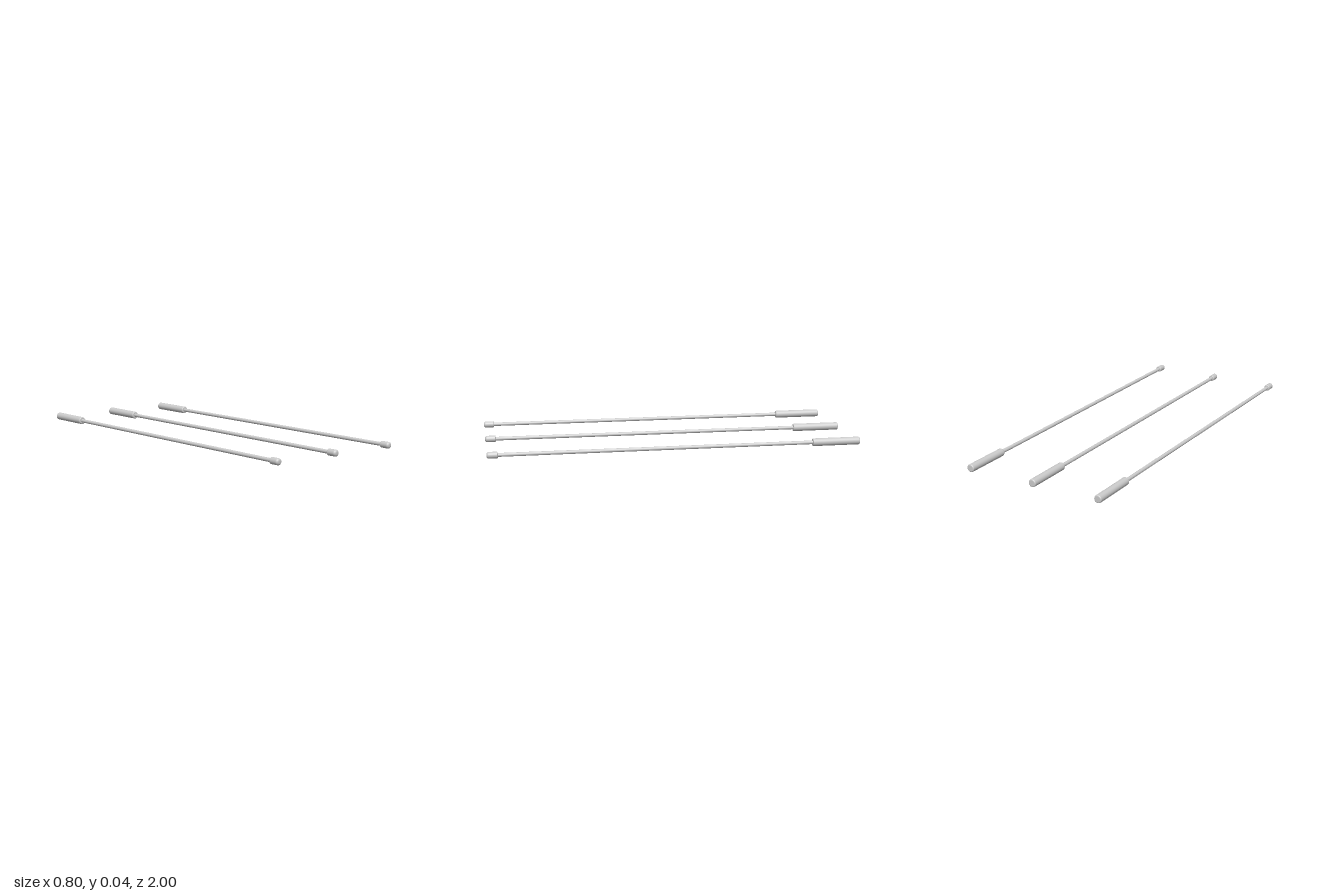
import * as THREE from 'three';

const R = 0.021; // grip radius, also the height of the axis
const material = new THREE.MeshStandardMaterial({ color: 0xcccccc });

// Capped round bar along z from z0 to z1, with rounded end edges
function roundBar(name, radius, z0, z1, backRound, frontRound) {
  const pts = [new THREE.Vector2(0, z0)];
  const steps = 5;
  for (let i = 0; i <= steps; i++) {
    const a = (i / steps) * Math.PI / 2;
    pts.push(new THREE.Vector2(radius - backRound * (1 - Math.sin(a)), z0 + backRound * (1 - Math.cos(a))));
  }
  for (let i = 0; i <= steps; i++) {
    const a = (i / steps) * Math.PI / 2;
    pts.push(new THREE.Vector2(radius - frontRound * (1 - Math.cos(a)), z1 - frontRound * (1 - Math.sin(a))));
  }
  pts.push(new THREE.Vector2(0, z1));
  const geometry = new THREE.LatheGeometry(pts, 32);
  geometry.rotateX(Math.PI / 2);
  const mesh = new THREE.Mesh(geometry, material);
  mesh.name = name;
  return mesh;
}

function createStick(name, x) {
  const stick = new THREE.Group();
  stick.name = name;
  // Thin shaft
  const shaftGeometry = new THREE.CylinderGeometry(0.01, 0.01, 1.72, 24, 1, true);
  shaftGeometry.rotateX(Math.PI / 2);
  const shaft = new THREE.Mesh(shaftGeometry, material);
  shaft.name = 'shaft';
  shaft.position.z = 0.105;
  // Thick grip at the back, small rounded tip at the front
  const grip = roundBar('grip', R, -1, -0.737, 0.006, 0.006);
  const tip = roundBar('tip', 0.0175, 0.942, 1, 0.005, 0.012);
  stick.add(shaft, grip, tip);
  stick.position.set(x, R, 0);
  return stick;
}

export function createModel() {
  const model = new THREE.Group();
  model.name = 'threeSticks';
  const names = ['rightStick', 'middleStick', 'leftStick'];
  names.forEach((name, i) => model.add(createStick(name, (i - 1) * 0.379)));
  return model;
}
